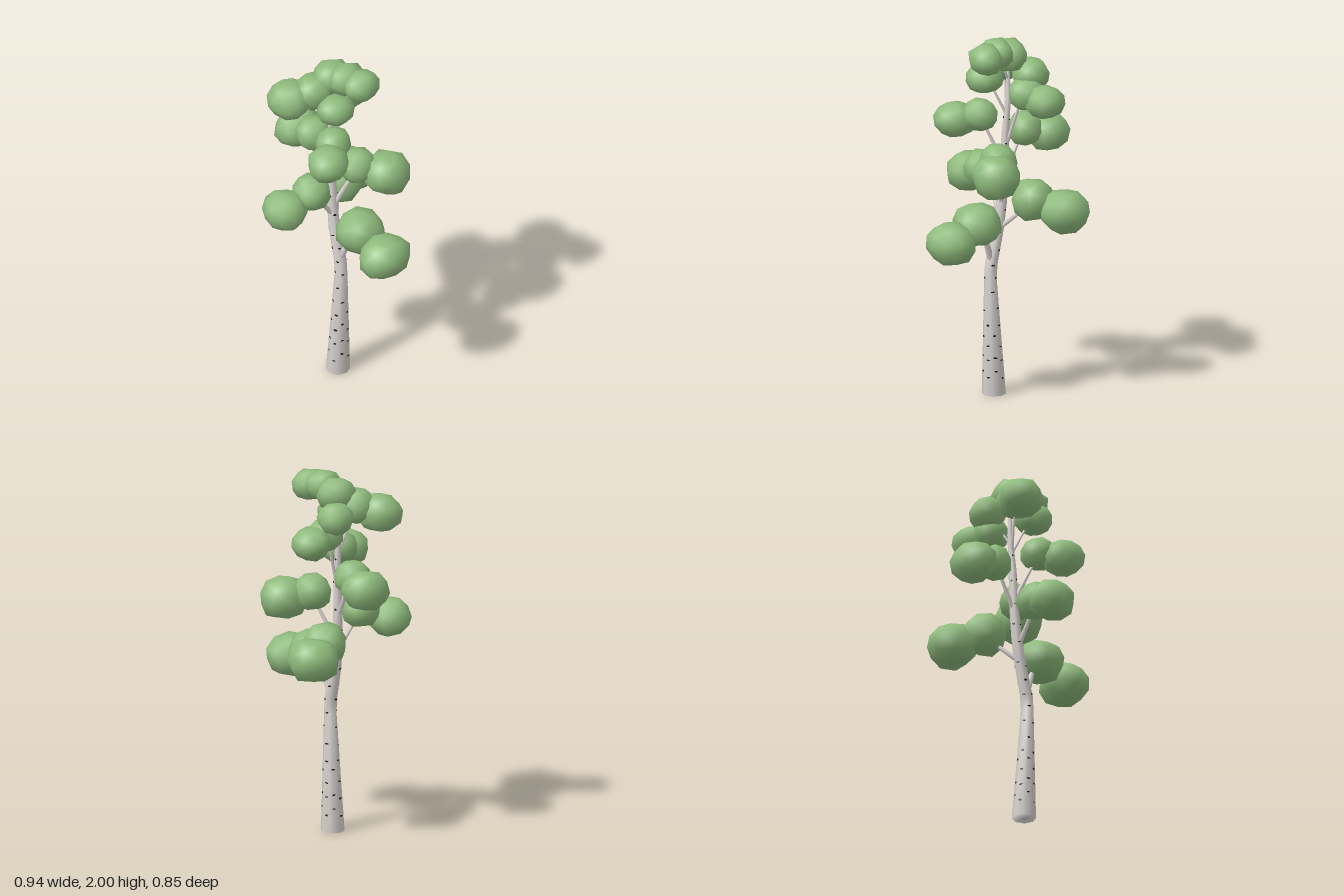
import * as THREE from 'three';
import { mergeVertices } from 'three/addons/utils/BufferGeometryUtils.js';

const V = (x, y, z) => new THREE.Vector3(x, y, z);

// Small seeded generator for irregular leaf clumps and bark marks
let seed = 11;
const rand = () => {
  seed = (seed * 16807) % 2147483647;
  return seed / 2147483647;
};

// Trunk cross-sections: x, y, z, radius
const SPINE = [
  [0, 0, 0, 0.065], [0.024, 0.65, 0, 0.034], [0.018, 0.73, 0, 0.034], [-0.03, 0.92, 0, 0.031],
  [-0.05, 1.06, -0.004, 0.029], [-0.066, 1.26, -0.01, 0.025], [-0.066, 1.45, -0.016, 0.02],
  [-0.085, 1.66, -0.02, 0.014], [-0.08, 1.84, -0.02, 0.008],
];
const SIDES = 8;

// Interpolated centre and radius of the trunk at a height
function trunkAt(y) {
  let i = 0;
  while (i < SPINE.length - 2 && SPINE[i + 1][1] < y) i++;
  const a = SPINE[i], b = SPINE[i + 1], t = (y - a[1]) / (b[1] - a[1]);
  return a.map((v, k) => v + (b[k] - v) * t);
}

// Drop seams so the surface shades smoothly
function smooth(geo) {
  geo.deleteAttribute('uv');
  geo.deleteAttribute('normal');
  const merged = mergeVertices(geo, 1e-4);
  merged.computeVertexNormals();
  return merged;
}

function trunkGeometry() {
  const n = SPINE.length - 1;
  const geo = new THREE.CylinderGeometry(1, 1, 1, SIDES, n);
  const p = geo.attributes.position;
  for (let i = 0; i < p.count; i++) {
    const [x, y, z, r] = SPINE[Math.round((p.getY(i) + 0.5) * n)];
    p.setXYZ(i, x + p.getX(i) * r, y, z + p.getZ(i) * r);
  }
  return smooth(geo);
}

// Irregular faceted ball with a flattened top and bottom
function clumpGeometry(rx, ry, rz) {
  const geo = smooth(new THREE.IcosahedronGeometry(1, 1));
  geo.rotateY(rand() * 6.28);
  geo.rotateX(rand() * 0.6 - 0.3);
  const p = geo.attributes.position;
  for (let i = 0; i < p.count; i++) {
    const k = 0.93 + rand() * 0.14;
    const y = THREE.MathUtils.clamp(p.getY(i) * k * 1.12, -0.95, 1);
    p.setXYZ(i, p.getX(i) * k * rx, y * ry, p.getZ(i) * k * rz);
  }
  geo.computeVertexNormals();
  return geo;
}

// Leaf clumps: x, y, z, horizontal radius, vertical radius, optional z radius
const CLUMPS = [
  [0.115, 1.91, -0.07, 0.088, 0.08, 0.105], [0.02, 1.92, -0.045, 0.085, 0.08, 0.105],
  [-0.08, 1.89, -0.025, 0.1, 0.085, 0.115],
  [-0.19, 1.78, 0.18, 0.122, 0.1], [-0.12, 1.82, 0.07, 0.11, 0.09],
  [0.03, 1.76, 0.045, 0.103, 0.075], [-0.175, 1.78, -0.1, 0.1, 0.085],
  [-0.16, 1.66, -0.24, 0.108, 0.085], [-0.12, 1.69, -0.13, 0.1, 0.085],
  [0.125, 1.52, 0.18, 0.115, 0.092], [0.04, 1.555, 0.07, 0.1, 0.085],
  [-0.35, 1.41, -0.02, 0.118, 0.105, 0.135], [-0.21, 1.45, -0.01, 0.1, 0.09],
  [0.16, 1.29, -0.21, 0.13, 0.112], [0.05, 1.33, -0.1, 0.105, 0.095],
  [-0.08, 1.16, 0.31, 0.125, 0.1], [-0.05, 1.22, 0.15, 0.11, 0.095],
  [-0.25, 1.04, -0.29, 0.145, 0.11], [-0.15, 1.09, -0.15, 0.12, 0.11],
  [0.335, 0.91, -0.04, 0.13, 0.11, 0.15], [0.14, 0.98, -0.03, 0.135, 0.11],
];

// Branches: height on the trunk, end x, y, z, base radius
const BRANCHES = [
  [0.74, 0.11, 0.97, -0.03, 0.02], [0.92, -0.15, 1.07, -0.14, 0.017],
  [1.0, -0.05, 1.2, 0.14, 0.015], [1.05, 0.04, 1.3, -0.1, 0.016],
  [1.2, -0.18, 1.42, -0.01, 0.015], [1.27, 0.03, 1.52, 0.06, 0.013],
  [1.36, -0.11, 1.68, -0.11, 0.012], [1.55, -0.12, 1.8, 0.06, 0.01],
  [1.55, 0.01, 1.75, 0.03, 0.009], [1.6, -0.15, 1.76, -0.09, 0.009],
  [1.75, 0.0, 1.9, -0.04, 0.007],
];

// Heights of the bark marks, denser near the foot
const MARKS = [
  0.095, 0.135, 0.19, 0.21, 0.28, 0.335, 0.385, 0.48, 0.57, 0.655,
  0.73, 0.81, 0.9, 1.02, 1.13, 1.24, 1.39, 1.53,
];

export function createModel() {
  const tree = new THREE.Group();
  tree.name = 'tree';
  const mat = (name, color) => Object.assign(new THREE.MeshStandardMaterial({ color }), { name });
  const bark = mat('paleBark', 0xdad3d0);
  const dark = mat('darkMarks', 0x1e1c1c);
  const leaf = mat('leafGreen', 0x8fbb7d);
  const add = (parent, name, geo, material) => {
    const mesh = new THREE.Mesh(geo, material);
    mesh.name = name;
    parent.add(mesh);
    return mesh;
  };
  const group = (name) => {
    const g = new THREE.Group();
    g.name = name;
    tree.add(g);
    return g;
  };

  add(tree, 'trunk', trunkGeometry(), bark);

  // Tapered branches reaching from the trunk into the clumps
  const branches = group('branches');
  for (const [y, ex, ey, ez, r] of BRANCHES) {
    const [sx, , sz] = trunkAt(y);
    const from = V(sx, y, sz), dir = V(ex, ey, ez).sub(from), len = dir.length();
    const geo = new THREE.CylinderGeometry(r * 0.5, r, len, 6, 1, true);
    geo.translate(0, len / 2, 0);
    const mesh = add(branches, 'branch', geo, bark);
    mesh.position.copy(from);
    mesh.quaternion.setFromUnitVectors(V(0, 1, 0), dir.normalize());
  }

  // Thin pointed bark marks lying on the faces of the trunk
  const marks = group('barkMarks');
  const plate = new THREE.CylinderGeometry(1, 1, 1, 6).rotateX(Math.PI / 2).rotateZ(Math.PI / 2);
  MARKS.forEach((y0, row) => {
    for (let f = row % 2; f < SIDES; f += y0 < 0.42 ? 2 : 3) {
      const y = y0 + (rand() - 0.5) * 0.02;
      const [x, , z, r] = trunkAt(y);
      const a = (f + 0.5) * (2 * Math.PI / SIDES);
      const d = r * Math.cos(Math.PI / SIDES);
      const mesh = add(marks, 'barkMark', plate, dark);
      mesh.position.set(x + Math.sin(a) * d, y, z + Math.cos(a) * d);
      mesh.rotation.set(0, a, (rand() - 0.5) * 0.4, 'YXZ');
      mesh.scale.set(Math.min(0.012, r * 0.36) * (0.7 + rand() * 0.3), 0.003 + rand() * 0.003, 0.005);
    }
  });

  // Crown
  const crown = group('crown');
  for (const [x, y, z, rx, ry, rz = rx] of CLUMPS) {
    add(crown, 'leafClump', clumpGeometry(rx, ry, rz), leaf).position.set(x, y, z);
  }
  return tree;
}
